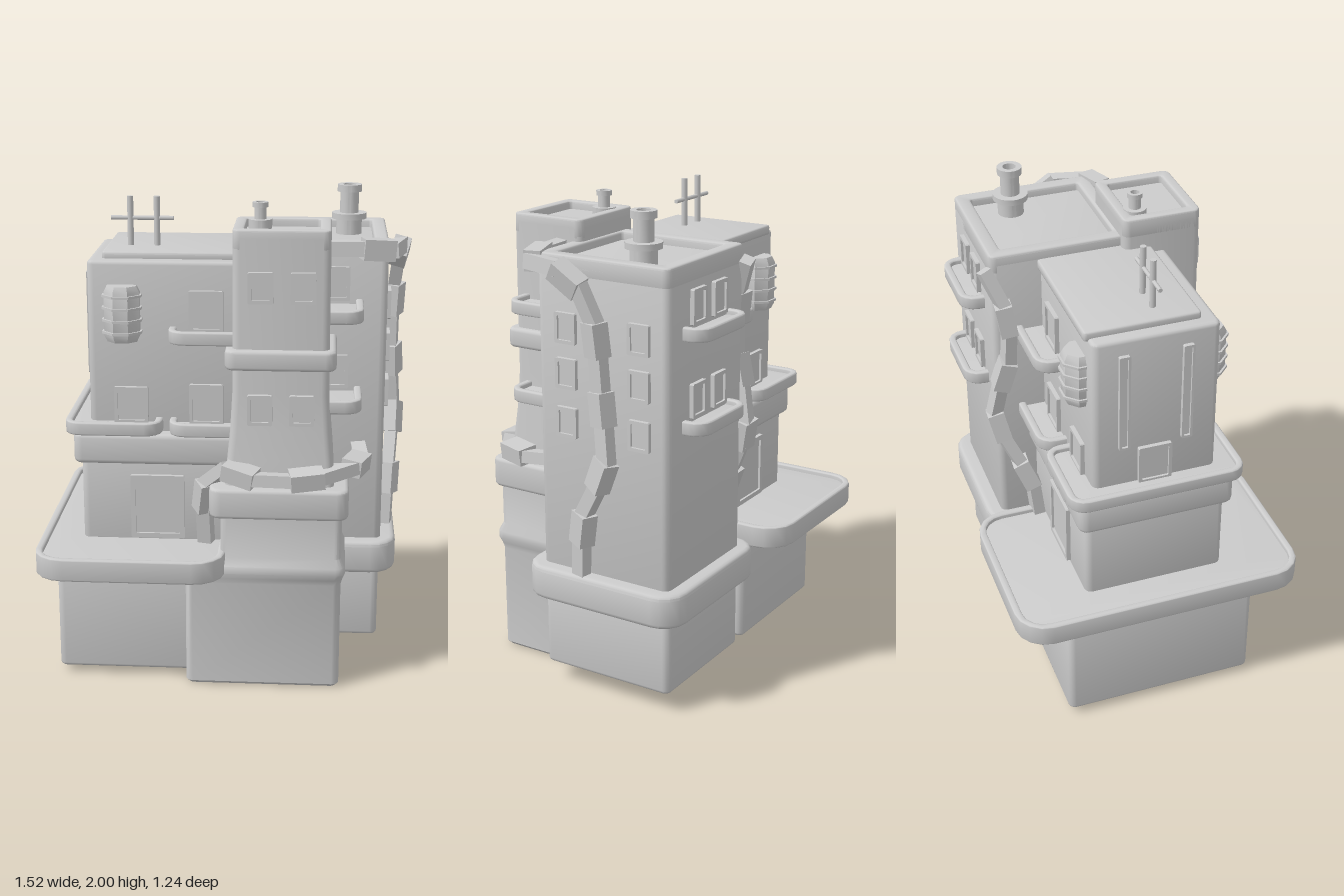
import * as THREE from 'three';
import { toCreasedNormals } from 'three/addons/utils/BufferGeometryUtils.js';

const mat = new THREE.MeshStandardMaterial({ color: 0xcccccc });

function add(parent, name, geo, x = 0, y = 0, z = 0) {
  const m = new THREE.Mesh(geo, mat);
  m.name = name;
  m.position.set(x, y, z);
  parent.add(m);
  return m;
}

// Counter-clockwise rounded rectangle
function outline(w, d, r, n = 4) {
  const pts = [];
  [[1, 1], [-1, 1], [-1, -1], [1, -1]].forEach(([sx, sy], c) => {
    for (let i = 0; i <= n; i++) {
      const a = (c + i / n) * Math.PI / 2;
      pts.push(new THREE.Vector2(sx * (w / 2 - r) + r * Math.cos(a), sy * (d / 2 - r) + r * Math.sin(a)));
    }
  });
  return pts;
}

// Bevelled block filling the given ranges; rim > 0 leaves only an outer ring
function block(parent, name, [x0, x1], [y0, y1], [z0, z1], r = 0.03, b = 0.012, rim = 0) {
  const w = x1 - x0 - 2 * b, d = z1 - z0 - 2 * b;
  const shape = new THREE.Shape(outline(w, d, Math.max(r - b, 0.006)));
  if (rim) {
    const k = 2 * (rim - 2 * b);
    shape.holes.push(new THREE.Path(outline(w - k, d - k, Math.max(r - rim, 0.02)).reverse()));
  }
  const geo = new THREE.ExtrudeGeometry(shape, {
    depth: y1 - y0 - 2 * b, bevelThickness: b, bevelSize: b, bevelSegments: 3,
  });
  geo.translate(0, 0, b).rotateX(-Math.PI / 2);
  return add(parent, name, toCreasedNormals(geo, 0.6), (x0 + x1) / 2, y0, (z0 + z1) / 2);
}

// Slab with a raised lip round its edge
function tray(parent, name, xs, ys, zs, r, rim = 0.03, lip = 0.02) {
  const g = new THREE.Group();
  g.name = name;
  parent.add(g);
  const h = rim / 2, shrink = ([a, b]) => [a + h, b - h];
  block(g, name + 'Rim', xs, ys, zs, r, 0.007, rim);
  block(g, name + 'Floor', shrink(xs), [ys[0] + 0.002, ys[1] - lip], shrink(zs), Math.max(r - h, 0.01), 0.004);
}

// Skin through rounded-rectangle sections [y, x0, x1, z0, z1, r]
function loft(parent, name, rows) {
  const pos = [], idx = [];
  let n = 0;
  for (const [y, x0, x1, z0, z1, r] of rows) {
    const pts = outline(x1 - x0, z1 - z0, r);
    n = pts.length;
    for (const p of pts) pos.push((x0 + x1) / 2 + p.x, y, (z0 + z1) / 2 - p.y);
  }
  for (let j = 0; j < rows.length - 1; j++)
    for (let i = 0; i < n; i++) {
      const a = j * n + i, b = j * n + (i + 1) % n;
      idx.push(a, b, b + n, a, b + n, a + n);
    }
  const top = (rows.length - 1) * n;
  for (let i = 1; i < n - 1; i++) idx.push(0, i + 1, i, top, top + i, top + i + 1);
  const geo = new THREE.BufferGeometry();
  geo.setAttribute('position', new THREE.Float32BufferAttribute(pos, 3));
  geo.setIndex(idx);
  return add(parent, name, toCreasedNormals(geo, 0.6));
}

// Framed opening on a wall; turn is the facing angle about y
function opening(parent, name, x, y0, y1, z, w, turn = 0, f = 0.014) {
  const h = y1 - y0, g = new THREE.Group();
  g.name = name;
  const shape = new THREE.Shape(outline(w, h, 0.004, 1));
  shape.holes.push(new THREE.Path(outline(w - 2 * f, h - 2 * f, 0.003, 1).reverse()));
  add(g, name + 'Frame', new THREE.ExtrudeGeometry(shape, { depth: 0.03, bevelEnabled: false }), 0, 0, -0.012);
  add(g, name + 'Pane', new THREE.BoxGeometry(w - f, h - f, 0.016));
  g.position.set(x, (y0 + y1) / 2, z);
  g.rotation.y = turn;
  parent.add(g);
}

function lathe(parent, name, pts, x, y, z, sides = 20) {
  const geo = new THREE.LatheGeometry(pts.map(p => new THREE.Vector2(...p)), sides, Math.PI / sides);
  return add(parent, name, toCreasedNormals(geo, 0.6), x, y, z);
}

// Chunky vine: a chain of thick and thin boxes along a path
function vine(parent, name, points, up, count) {
  const g = new THREE.Group();
  g.name = name;
  parent.add(g);
  const pts = new THREE.CatmullRomCurve3(points.map(p => new THREE.Vector3(...p))).getSpacedPoints(count);
  for (let i = 0; i < count; i++) {
    const big = i % 2, len = pts[i].distanceTo(pts[i + 1]);
    const geo = new THREE.BoxGeometry(big ? 0.085 : 0.06, big ? 0.07 : 0.05, len + (big ? 0 : 0.05));
    const m = add(g, name + 'Segment', geo);
    m.position.lerpVectors(pts[i], pts[i + 1], 0.5);
    m.up.set(...up);
    m.lookAt(pts[i + 1]);
    m.rotateZ(big ? 0.12 : -0.1);
  }
}

export function createModel() {
  const root = new THREE.Group();
  root.name = 'clusteredTowers';
  const group = name => {
    const g = new THREE.Group();
    g.name = name;
    root.add(g);
    return g;
  };

  // Wide house on the right-hand side
  const house = group('house');
  block(house, 'houseBase', [-0.69, -0.05], [0.03, 0.52], [-0.41, 0.41], 0.03, 0.015);
  tray(house, 'terrace', [-0.76, 0.02], [0.505, 0.6], [-0.62, 0.615], 0.13, 0.03, 0.02);
  block(house, 'lowerStorey', [-0.59, 0.12], [0.57, 0.94], [-0.3, 0.3]);
  block(house, 'cornice', [-0.62, 0.12], [0.915, 1.045], [-0.33, 0.33], 0.04, 0.02);
  block(house, 'upperStorey', [-0.555, 0.12], [1.03, 1.755], [-0.255, 0.265], 0.03, 0.015);
  block(house, 'roofSlab', [-0.5, 0.1], [1.74, 1.782], [-0.27, 0.205], 0.015, 0.01);
  tray(house, 'balcony', [-0.65, -0.25], [1.05, 1.105], [-0.37, 0.37], 0.07);
  tray(house, 'balcony', [-0.22, 0.16], [1.05, 1.105], [-0.37, 0.37], 0.07);
  tray(house, 'balcony', [-0.22, 0.16], [1.435, 1.49], [-0.37, 0.37], 0.07);
  for (const s of [1, -1]) {
    const turn = s > 0 ? 0 : Math.PI, z = s > 0 ? 0.265 : -0.255;
    opening(house, 'door', -0.272, 0.59, 0.865, s * 0.3, 0.225, turn, 0.02);
    opening(house, 'balconyDoor', -0.38, 1.08, 1.235, z, 0.14, turn);
    opening(house, 'balconyDoor', -0.07, 1.08, 1.25, z, 0.14, turn);
    opening(house, 'balconyDoor', -0.07, 1.47, 1.64, z, 0.14, turn);
    // Ribbed wall tank
    lathe(house, 'wallTank', [[0, 0], [0.065, 0], [0.078, 0.025], [0.078, 0.205], [0.065, 0.23], [0, 0.23]],
      -0.41, 1.43, z, 8);
    for (let i = 0; i < 4; i++)
      lathe(house, 'tankRib', [[0.07, 0], [0.087, 0], [0.087, 0.01], [0.07, 0.01]], -0.41, 1.465 + i * 0.05, z, 8);
    opening(house, 'sideStrip', -0.555, 1.26, 1.69, s * 0.13, 0.045, -Math.PI / 2, 0.01);
  }
  opening(house, 'sideDoor', -0.555, 1.08, 1.25, 0, 0.14, -Math.PI / 2);

  // Roof aerial
  const rod = new THREE.CylinderGeometry(0.013, 0.013, 0.23, 10);
  for (const x of [-0.4, -0.29]) add(house, 'aerialPole', rod, x, 1.87, 0.04);
  add(house, 'aerialBar', new THREE.CylinderGeometry(0.009, 0.009, 0.26, 8), -0.35, 1.895, 0.04)
    .rotation.z = Math.PI / 2;

  // Slim tower at the front
  const slim = group('slimTower');
  loft(slim, 'slimBase', [
    [0, -0.13, 0.48, 0.035, 0.465, 0.02], [0.015, -0.145, 0.495, 0.02, 0.48, 0.03],
    [0.46, -0.145, 0.495, 0.02, 0.48, 0.03], [0.485, -0.11, 0.502, 0.02, 0.488, 0.035],
    [0.51, -0.07, 0.512, 0.02, 0.5, 0.04], [0.54, -0.03, 0.512, 0.02, 0.498, 0.04],
    [0.575, 0, 0.495, 0.02, 0.48, 0.03], [0.78, 0, 0.495, 0.02, 0.48, 0.03],
  ]);
  block(slim, 'slimCornice', [-0.045, 0.52], [0.75, 0.875], [0.0, 0.507], 0.05, 0.015);
  loft(slim, 'slimShaft', [
    [0.86, 0.015, 0.46, 0.06, 0.448, 0.03], [0.98, 0.025, 0.452, 0.068, 0.438, 0.03],
    [1.1, 0.036, 0.441, 0.077, 0.426, 0.03], [1.25, 0.044, 0.432, 0.083, 0.418, 0.03],
    [1.88, 0.044, 0.43, 0.085, 0.417, 0.03],
  ]);
  block(slim, 'slimBand', [0.015, 0.46], [1.355, 1.437], [0.055, 0.45], 0.045, 0.015);
  block(slim, 'slimParapet', [0.044, 0.43], [1.83, 1.913], [0.085, 0.417], 0.03, 0.008, 0.045);
  for (const x of [0.157, 0.325])
    for (const y of [1.128, 1.625]) opening(slim, 'window', x, y, y + 0.125, 0.421, 0.1);
  lathe(slim, 'slimChimney', [[0, 0], [0.048, 0], [0.048, 0.04], [0.025, 0.04], [0.025, 0.088],
    [0.032, 0.088], [0.032, 0.108], [0.018, 0.108], [0.018, 0.07], [0, 0.07]], 0.143, 1.877, 0.165);

  // Tall tower at the back
  const tall = group('tallTower');
  block(tall, 'tallBase', [0.09, 0.66], [0.085, 0.42], [-0.465, 0.132], 0.03, 0.015);
  block(tall, 'tallLedge', [0.02, 0.73], [0.4, 0.54], [-0.53, 0.198], 0.11, 0.02);
  block(tall, 'tallShaft', [0.09, 0.665], [0.52, 1.79], [-0.467, 0.132], 0.03, 0.008);
  block(tall, 'tallParapet', [0.09, 0.665], [1.74, 1.825], [-0.467, 0.132], 0.03, 0.01, 0.06);
  for (const y of [1.16, 1.53]) {
    tray(tall, 'balcony', [0.2, 0.565], [y, y + 0.055], [-0.562, 0.37], 0.07);
    for (const x of [0.3, 0.46]) {
      opening(tall, 'window', x, y + 0.05, y + 0.19, -0.467, 0.1, Math.PI);
      opening(tall, 'window', x, y + 0.05, y + 0.19, 0.132, 0.1);
    }
  }
  for (const z of [-0.008, -0.342])
    for (const y of [1.102, 1.3, 1.482]) opening(tall, 'window', 0.665, y, y + 0.123, z, 0.095, Math.PI / 2);
  lathe(tall, 'tallChimney', [[0, 0], [0.055, 0], [0.055, 0.07], [0.074, 0.07], [0.074, 0.095], [0.04, 0.095],
    [0.04, 0.185], [0.052, 0.185], [0.052, 0.215], [0.028, 0.215], [0.028, 0.15], [0, 0.15]], 0.505, 1.785, -0.258);

  // Vines draped over the walls
  vine(root, 'frontVine', [[-0.07, 0.6, 0.32], [-0.07, 0.8, 0.36], [-0.02, 0.94, 0.42], [0.12, 0.92, 0.485],
    [0.34, 0.92, 0.49], [0.5, 0.94, 0.43], [0.57, 0.94, 0.27], [0.56, 0.95, 0.13]], [0, 1, 0], 9);
  vine(root, 'sideVine', [[0.42, 1.8, 0.18], [0.56, 1.8, 0.17], [0.68, 1.79, 0.14], [0.72, 1.78, -0.02],
    [0.71, 1.67, -0.14], [0.7, 1.5, -0.17], [0.7, 1.26, -0.19], [0.715, 1.03, -0.215], [0.7, 0.8, -0.1],
    [0.69, 0.54, -0.075]], [1, 0, 0.3], 13);
  vine(root, 'backVine', [[0.1, 1.74, -0.48], [0.06, 1.62, -0.43], [0.05, 1.4, -0.41], [0.07, 1.2, -0.46],
    [0.08, 1.05, -0.48], [0.04, 0.9, -0.42], [0.01, 0.75, -0.35], [0, 0.59, -0.33]], [0, 0, -1], 9);
  return root;
}
